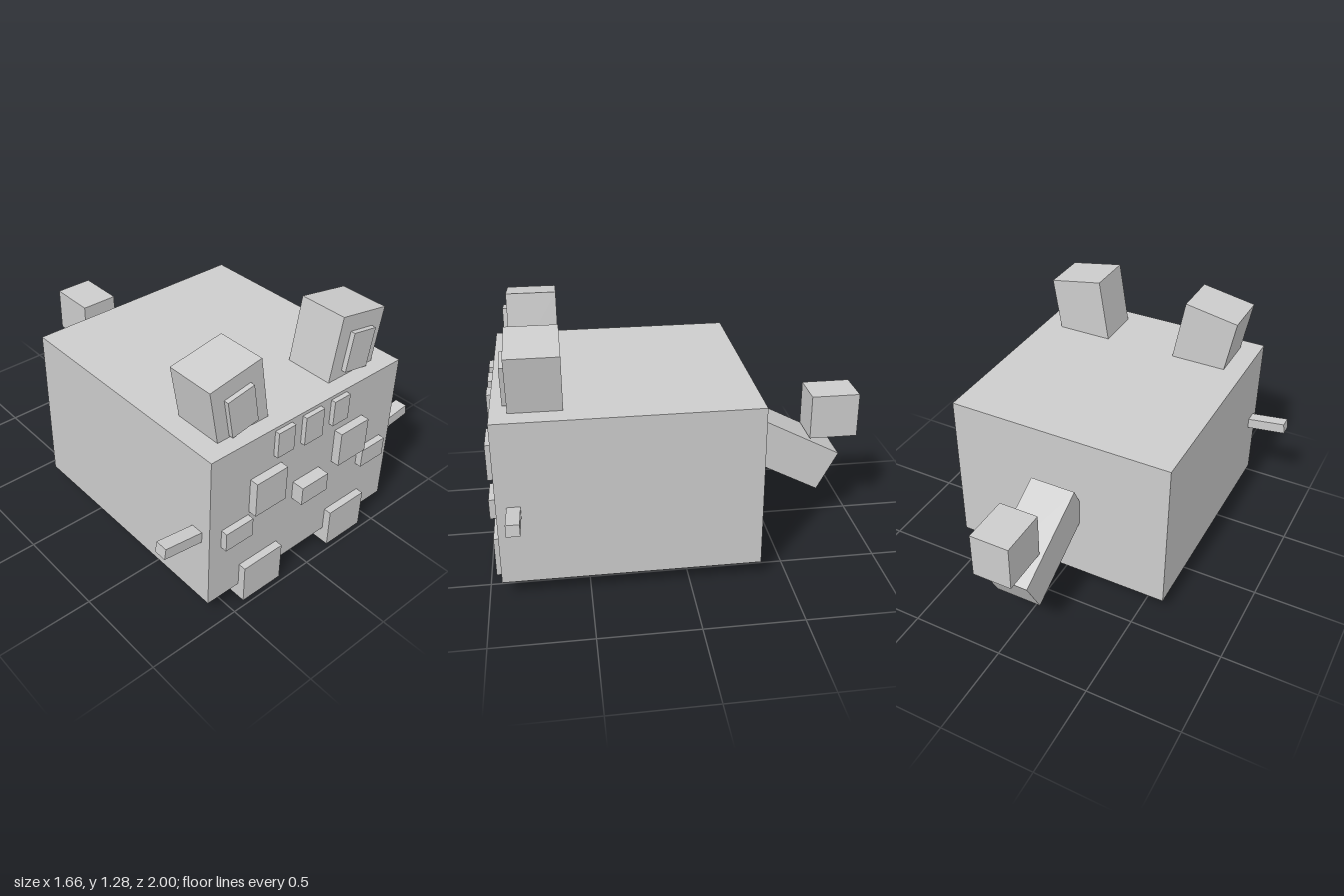
import * as THREE from 'three';

export function createModel() {
  const model = new THREE.Group();
  const grey = new THREE.MeshStandardMaterial({ color: 0xcccccc });
  grey.name = 'light grey';

  // Box from its centre and size
  function block(name, pos, size) {
    const mesh = new THREE.Mesh(new THREE.BoxGeometry(...size), grey);
    mesh.name = name;
    mesh.position.set(...pos);
    model.add(mesh);
    return mesh;
  }
  // Box from its extents
  function span(name, [x0, x1], [y0, y1], [z0, z1]) {
    return block(name, [(x0 + x1) / 2, (y0 + y1) / 2, (z0 + z1) / 2], [x1 - x0, y1 - y0, z1 - z0]);
  }

  const face = 0.935; // front of the body

  // Body and belly
  span('body', [-0.615, 0.615], [0.085, 0.945], [-0.365, face]);
  span('belly', [-0.51, 0.51], [0.04, 0.1], [-0.22, 0.835]);

  // Middle of the face
  span('nose', [-0.087, 0.087], [0.445, 0.547], [face - 0.02, 1]);
  span('middleForeheadStripe', [-0.06, 0.06], [0.77, 0.927], [face - 0.02, 0.96]);

  // Paired parts, mirrored left and right
  for (const [side, s] of [['left', 1], ['right', -1]]) {
    const pair = (name, x, y, z) => span(side + name, s > 0 ? x : [-x[1], -x[0]], y, z);
    pair('ForeheadStripe', [0.13, 0.235], [0.788, 0.927], [face - 0.02, 0.96]);
    pair('Eye', [0.182, 0.375], [0.53, 0.722], [face - 0.02, 0.98]);
    pair('Cheek', [0.378, 0.543], [0.41, 0.513], [face - 0.02, 0.97]);
    pair('Foot', [0.175, 0.42], [0, 0.215], [0.73, 0.975]);

    // Ears lean outwards
    const tilt = -s * THREE.MathUtils.degToRad(10);
    block(side + 'Ear', [s * 0.371, 1.051, 0.72], [0.3, 0.42, 0.26]).rotation.z = tilt;
    block(side + 'InnerEar', [s * 0.379, 1.07, 0.855], [0.155, 0.207, 0.04]).rotation.z = tilt;

    // Arms rise slightly outwards
    block(side + 'Arm', [s * 0.699, 0.49, 0.85], [0.26, 0.058, 0.066]).rotation.z = s * THREE.MathUtils.degToRad(8);
  }

  // Tail slopes down, with an upright tip
  block('tail', [0, 0.439, -0.601], [0.25, 0.24, 0.545]).rotation.x = -0.485;
  span('tailTip', [-0.105, 0.105], [0.51, 0.755], [-1, -0.738]);

  return model;
}
